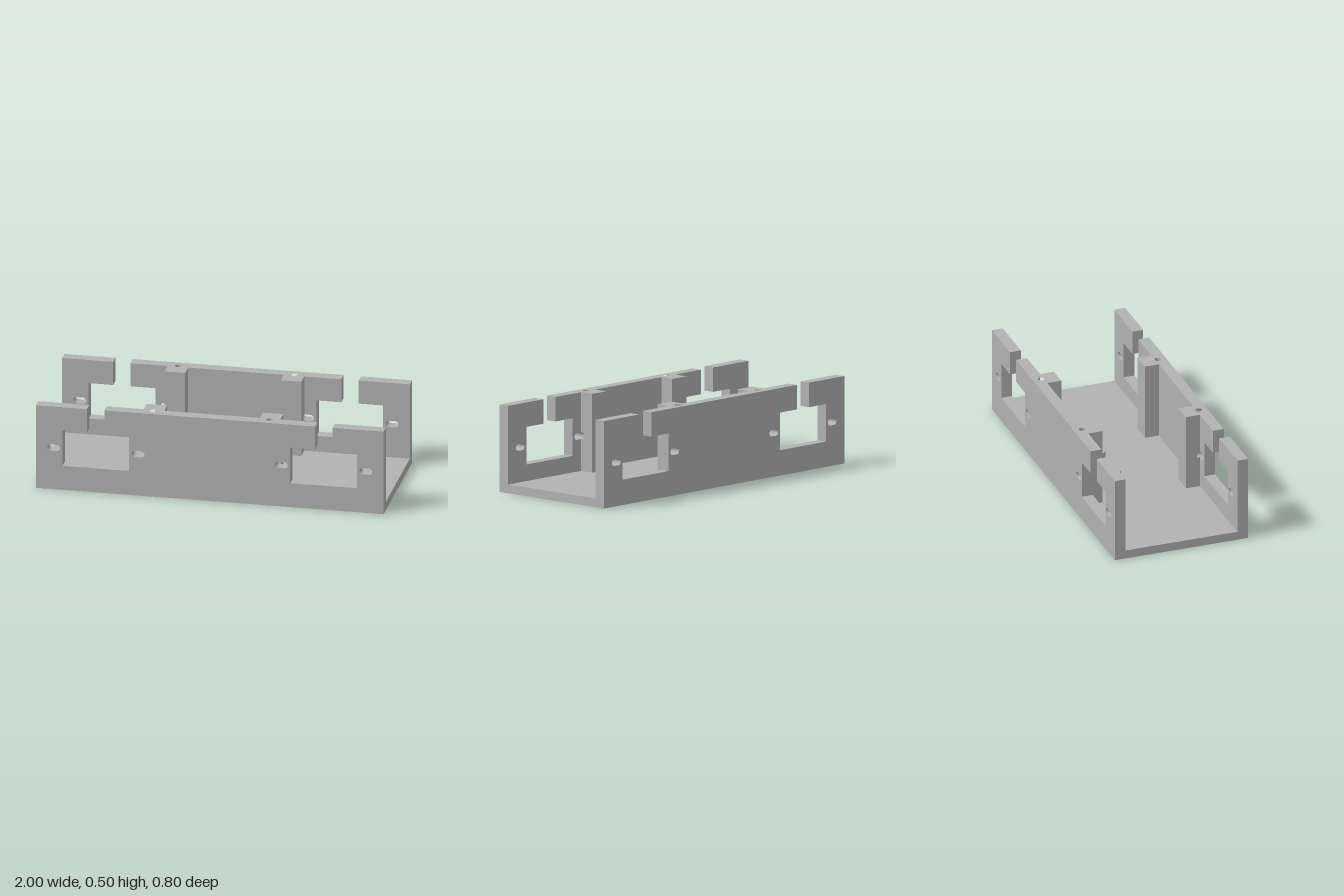
import * as THREE from 'three';
import { toCreasedNormals } from 'three/addons/utils/BufferGeometryUtils.js';

const WALL_IN = 0.335, DEPTH = 0.4, HEIGHT = 0.5, FLOOR = 0.05;
const POST_A = 0.275, POST_B = 0.393, POST_Z = 0.251, POST_MID = 0.334;
const BORE_Y = 0.3;   // bottom of the screw bores in the posts
const BAY = 0.655;    // centre of each cut-out bay
const SLOT_Y = 0.251, SLOT_R = 0.019;

const grey = new THREE.MeshStandardMaterial({ color: 0xb2b2b2 });
grey.name = 'plain grey';

const poly = pts => new THREE.Shape(pts.map(p => new THREE.Vector2(p[0], p[1])));
const rect = (x0, y0, x1, y1) => poly([[x0, y0], [x1, y0], [x1, y1], [x0, y1]]);
const circle = (x, y, r) => new THREE.Path().absarc(x, y, r, 0, Math.PI * 2, true);
const hexagon = (x, y, r) => new THREE.Path(Array.from({ length: 6 }, (_, i) =>
  new THREE.Vector2(x + r * Math.cos(i * Math.PI / 3), y + r * Math.sin(i * Math.PI / 3))));

function extrude(shape, depth) {
  const g = new THREE.ExtrudeGeometry(shape, { depth, bevelEnabled: false, curveSegments: 24 });
  return toCreasedNormals(g, 0.6);
}

function add(parent, name, geometry) {
  const mesh = new THREE.Mesh(geometry, grey);
  mesh.name = name;
  parent.add(mesh);
}

// extrusion along z, between z0 and z1
const addFacing = (parent, name, shape, z0, z1) =>
  add(parent, name, extrude(shape, z1 - z0).translate(0, 0, z0));

// extrusion along y, between y0 and y1 (the shape's y is -z)
const addUpright = (parent, name, shape, y0, y1) =>
  add(parent, name, extrude(shape, y1 - y0).rotateX(-Math.PI / 2).translate(0, y0, 0));

// horizontal rounded slot
function slot(cx, halfLength) {
  const p = new THREE.Path(), d = halfLength - SLOT_R;
  p.absarc(cx + d, SLOT_Y, SLOT_R, -Math.PI / 2, Math.PI / 2, false);
  p.absarc(cx - d, SLOT_Y, SLOT_R, Math.PI / 2, Math.PI * 1.5, false);
  p.closePath();
  return p;
}

function createSide() {
  const side = new THREE.Group();

  // wall outline: top-open bays and the places of the bored post heads
  const half = [
    [1, 0], [1, HEIGHT], [BAY + 0.051, HEIGHT], [BAY + 0.051, 0.36], [BAY + 0.192, 0.36],
    [BAY + 0.192, 0.145], [BAY - 0.192, 0.145], [BAY - 0.192, 0.36], [BAY - 0.049, 0.36],
    [BAY - 0.049, HEIGHT], [POST_B, HEIGHT], [POST_B, BORE_Y], [POST_A, BORE_Y], [POST_A, HEIGHT]
  ];
  const wall = poly([...half, ...half.map(([x, y]) => [-x, y]).reverse()]);
  for (const s of [-1, 1])
    for (const o of [-0.243, 0.243]) wall.holes.push(slot(s * (BAY + o), 0.036));
  addFacing(side, 'sideWall', wall, WALL_IN, DEPTH);

  for (const s of [-1, 1]) {
    // post head with its screw bore
    const head = rect(s * POST_A, -DEPTH, s * POST_B, -POST_Z);
    head.holes.push(circle(s * POST_MID, -0.35, 0.019));
    addUpright(side, 'postHead', head, BORE_Y, HEIGHT);

    // lower post, with the slot running a little way into it
    addFacing(side, 'postFoot', rect(s * POST_A, FLOOR, s * POST_B, BORE_Y), POST_Z, 0.317);
    const pts = [[POST_A, FLOOR], [POST_B, FLOOR]];
    for (let i = 0; i <= 12; i++) {
      const a = -Math.PI / 2 - i * Math.PI / 12;
      pts.push([POST_B + 0.018 * Math.cos(a), SLOT_Y + SLOT_R * Math.sin(a)]);
    }
    pts.push([POST_B, BORE_Y], [POST_A, BORE_Y]);
    addFacing(side, 'postSlotRecess', poly(pts.map(([x, y]) => [s * x, y])), 0.317, WALL_IN);
  }
  return side;
}

export function createModel() {
  const model = new THREE.Group();
  model.name = 'bracket';

  // the two matching sides
  const front = createSide();
  front.name = 'frontSide';
  const back = createSide();
  back.name = 'backSide';
  back.rotation.y = Math.PI;
  model.add(front, back);

  // floor: nut pockets below, round holes above
  const lower = rect(-1, -WALL_IN, 1, WALL_IN), upper = rect(-1, -WALL_IN, 1, WALL_IN);
  for (const x of [-0.128, 0.128]) {
    lower.holes.push(hexagon(x, 0.093, 0.048));
    upper.holes.push(circle(x, 0.093, 0.031));

    // raised collar around each hole
    const collar = new THREE.Shape().absarc(x, 0.093, 0.049, 0, Math.PI * 2, false);
    collar.holes.push(circle(x, 0.093, 0.031));
    addUpright(model, 'holeCollar', collar, FLOOR, 0.1);
  }
  addUpright(model, 'floorUnderside', lower, 0, 0.03);
  addUpright(model, 'floorTop', upper, 0.03, FLOOR);
  return model;
}
